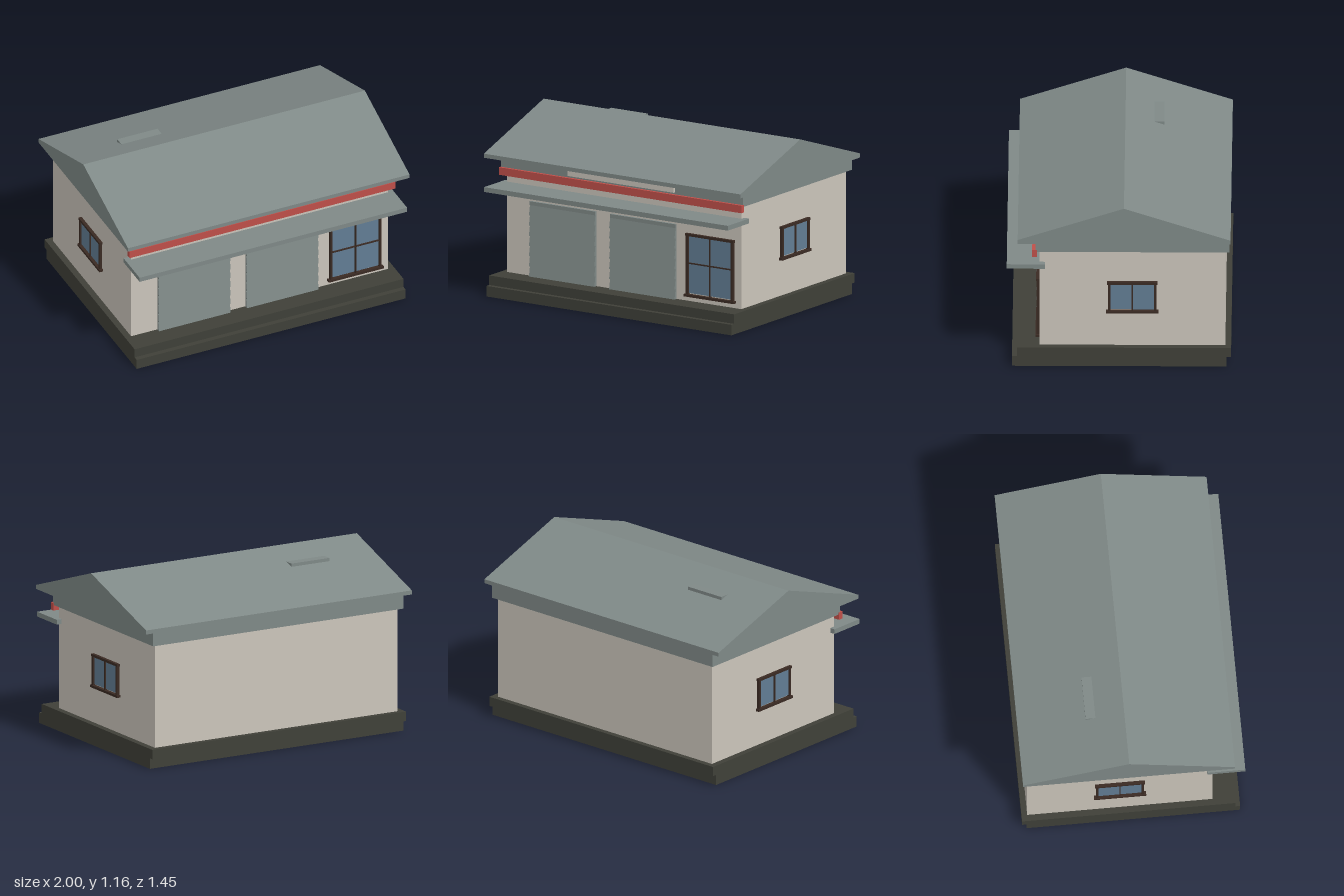
import * as THREE from 'three';

const paint = (name, color) => {
  const m = new THREE.MeshStandardMaterial({ color });
  m.name = name;
  return m;
};

export function createModel() {
  const model = new THREE.Group();
  model.name = 'garageBuilding';
  const cream = paint('creamWall', 0xcbc5bb);
  const grey = paint('greyMetal', 0x7f8987);
  const stone = paint('darkStone', 0x3f4038);
  const red = paint('redTrim', 0xbf4f49);
  const brown = paint('darkBrownFrame', 0x3a2a23);
  const blue = paint('blueGlass', 0x627d94);

  // Box given by its limits on each axis
  const box = (parent, name, mat, x0, x1, y0, y1, z0, z1) => {
    const mesh = new THREE.Mesh(new THREE.BoxGeometry(x1 - x0, y1 - y0, z1 - z0), mat);
    mesh.position.set((x0 + x1) / 2, (y0 + y1) / 2, (z0 + z1) / 2);
    mesh.name = name;
    parent.add(mesh);
    return mesh;
  };

  // Side profile of [z, y] points extruded from x0 to x1
  const profile = (name, mat, points, x0, x1) => {
    const shape = new THREE.Shape(points.map(([z, y]) => new THREE.Vector2(-z, y)));
    const geo = new THREE.ExtrudeGeometry(shape, { depth: x1 - x0, bevelEnabled: false });
    geo.rotateY(Math.PI / 2).translate(x0, 0, 0);
    const mesh = new THREE.Mesh(geo, mat);
    mesh.name = name;
    model.add(mesh);
  };

  // Stepped plinth and walls
  box(model, 'lowerPlinth', stone, -0.955, 0.955, 0, 0.07, -0.69, 0.692);
  box(model, 'upperPlinth', stone, -0.955, 0.955, 0.07, 0.133, -0.72, 0.66);
  box(model, 'walls', cream, -0.913, 0.913, 0.133, 0.82, -0.683, 0.515);

  // Eaves band and gabled roof
  box(model, 'eavesBand', grey, -0.942, 0.942, 0.818, 0.906, -0.71, 0.542);
  profile('roof', grey, [
    [0.655, 0.906], [0.655, 0.933], [-0.03, 1.162], [-0.717, 0.933], [-0.717, 0.906],
  ], -1, 1);
  box(model, 'roofVent', grey, -0.643, -0.357, 1.04, 1.1, -0.28, -0.215);

  // Front trim, blank sign panel and canopy
  box(model, 'redBand', red, -0.945, 0.945, 0.782, 0.832, 0.53, 0.562);
  box(model, 'signPanel', cream, -0.413, 0.413, 0.845, 0.906, 0.541, 0.557);
  box(model, 'canopy', grey, -0.95, 0.95, 0.7, 0.732, 0.48, 0.726);

  // Roller doors with overlapping slats
  const slats = 7, bottom = 0.133, top = 0.605, step = (top - bottom) / slats;
  const doorLine = [[0.51, bottom]];
  for (let i = 0; i < slats; i++) {
    doorLine.push([0.54, bottom + i * step], [0.528, bottom + (i + 1) * step]);
  }
  doorLine.push([0.531, top], [0.531, 0.63], [0.51, 0.63]);
  profile('leftBayDoor', grey, doorLine, -0.727, -0.217);
  profile('rightBayDoor', grey, doorLine, -0.102, 0.408);

  // Window built facing +z, with its back on z = 0
  const makeWindow = (name, w, h, crossbar) => {
    const g = new THREE.Group();
    g.name = name;
    const x = w / 2, t = 0.016;
    box(g, 'glass', blue, -x + t, x - t, t + 0.007, h - t, 0.001, 0.009);
    for (const s of [-1, 1]) {
      const c = s * (x - t / 2);
      box(g, 'sideFrame', brown, c - t / 2, c + t / 2, t, h - t, 0, 0.02);
    }
    box(g, 'mullion', brown, -0.004, 0.004, t, h - t, 0, 0.018);
    if (crossbar) box(g, 'crossbar', brown, -x + t, x - t, crossbar - 0.004, crossbar + 0.004, 0, 0.018);
    box(g, 'lintel', brown, -x - 0.006, x + 0.006, h - t, h, 0, 0.022);
    box(g, 'sill', brown, -x - 0.013, x + 0.013, 0, t, 0, 0.026);
    model.add(g);
    return g;
  };

  makeWindow('frontWindow', 0.365, 0.418, 0.222).position.set(0.675, 0.165, 0.515);
  for (const s of [-1, 1]) {
    const side = makeWindow(s > 0 ? 'leftWindow' : 'rightWindow', 0.312, 0.222, 0);
    side.position.set(s * 0.913, 0.372, -0.083);
    side.rotation.y = s * Math.PI / 2;
  }
  return model;
}
